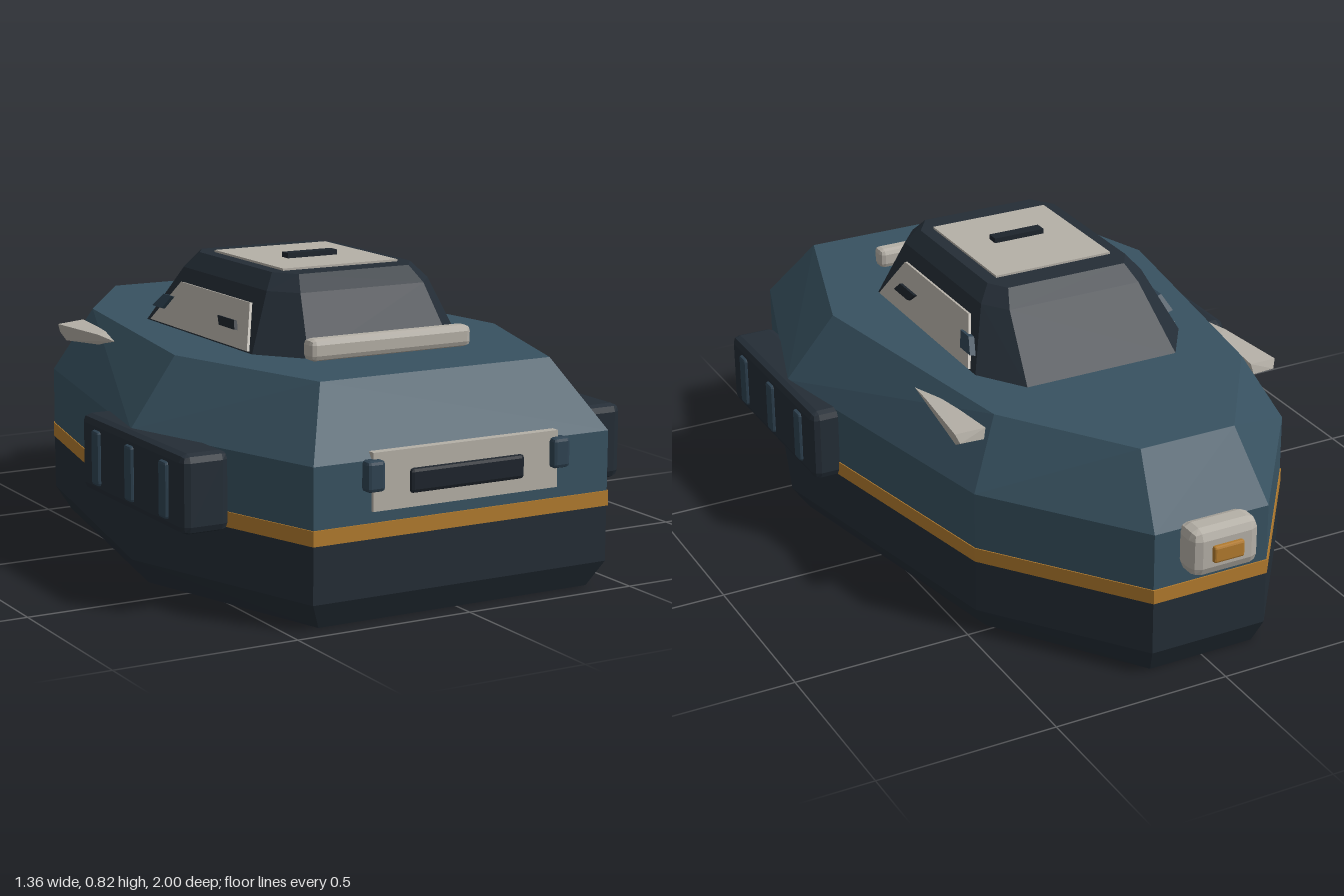
import * as THREE from 'three';
import { ConvexGeometry } from 'three/addons/geometries/ConvexGeometry.js';
import { RoundedBoxGeometry } from 'three/addons/geometries/RoundedBoxGeometry.js';

const paint = (color) => new THREE.MeshStandardMaterial({ color, flatShading: true });

export function createModel() {
  const group = new THREE.Group();
  const blue = paint(0x385261), dark = paint(0x242d36), black = paint(0x1d242c);
  const amber = paint(0xb27b2e), grey = paint(0xb5b0a7), steel = paint(0x2f4352);

  const add = (name, geometry, material) => {
    const mesh = new THREE.Mesh(geometry, material);
    mesh.name = name;
    group.add(mesh);
    return mesh;
  };

  // Faceted solid through a stack of mirrored outlines: [y, [[x, z], ...]]
  const faceted = (name, rings, material) => {
    const points = [];
    for (const [y, half] of rings) {
      for (const [x, z] of half) {
        points.push(new THREE.Vector3(x, y, z), new THREE.Vector3(-x, y, z));
      }
    }
    return add(name, new ConvexGeometry(points), material);
  };

  // Box with chamfered edges, given by its extents
  const block = (name, [x0, x1], [y0, y1], [z0, z1], chamfer, material) => {
    const size = [x1 - x0, y1 - y0, z1 - z0];
    const geometry = chamfer
      ? new RoundedBoxGeometry(...size, 1, chamfer)
      : new THREE.BoxGeometry(...size);
    add(name, geometry, material).position.set((x0 + x1) / 2, (y0 + y1) / 2, (z0 + z1) / 2);
  };

  // Hull: dark skirt, amber belt, blue upper body
  const outline = [[0.17, -0.91], [0.475, -0.5], [0.64, 0.36], [0.44, 0.97]];
  const keel = [[0.155, -0.875], [0.435, -0.48], [0.59, 0.355], [0.405, 0.935]];
  const deck = [[0.14, -0.78], [0.38, -0.43], [0.5, 0.34], [0.345, 0.835]];
  const proud = outline.map(([x, z]) => [x * 1.005, z * 1.004]);
  faceted('hullSkirt', [[0, keel], [0.07, outline], [0.22, outline]], dark);
  faceted('hullBelt', [[0.22, proud], [0.26, proud]], amber);
  faceted('hullBody', [[0.26, outline], [0.42, outline], [0.6, deck]], blue);

  // Cabin
  faceted('cabin', [
    [0.595, [[0.23, -0.335], [0.32, -0.2], [0.32, 0.43], [0.22, 0.558]]],
    [0.757, [[0.2, -0.172], [0.25, -0.1], [0.25, 0.385], [0.19, 0.46]]],
    [0.8, [[0.18, -0.125], [0.215, -0.07], [0.215, 0.35], [0.17, 0.415]]],
  ], dark);
  block('roofHatch', [-0.178, 0.178], [0.79, 0.806], [-0.05, 0.345], 0, grey);
  block('roofSlot', [-0.077, 0.077], [0.8, 0.82], [0.155, 0.19], 0, black);
  block('windscreenBar', [-0.245, 0.245], [0.602, 0.66], [0.565, 0.618], 0.015, grey);

  // Front plate
  block('frontPlate', [-0.275, 0.275], [0.29, 0.44], [0.94, 0.979], 0, grey);
  block('frontSlot', [-0.17, 0.17], [0.325, 0.39], [0.95, 0.988], 0.01, black);

  // Rear lamp
  block('rearLampHousing', [-0.1, 0.1], [0.305, 0.44], [-0.987, -0.895], 0.028, grey);
  block('rearLamp', [-0.045, 0.045], [0.348, 0.395], [-1, -0.95], 0.006, amber);

  // Slab lying on the sloping cabin side, from [z, y] corners
  const sidePanel = (name, side, corners, depth, material) => {
    const points = [];
    for (const [z, y] of corners) {
      const x = 0.32 - (y - 0.595) * (0.07 / 0.162);
      points.push(new THREE.Vector3(side * (x - 0.01), y, z));
      points.push(new THREE.Vector3(side * (x + depth), y + depth * 0.4, z));
    }
    add(name, new ConvexGeometry(points), material);
  };

  for (const side of [1, -1]) {
    const tag = side > 0 ? 'left' : 'right';
    const span = (a, b) => (side > 0 ? [a, b] : [-b, -a]);

    // Cabin side window and its two slats
    sidePanel(tag + 'Window', side, [[0.41, 0.603], [0.335, 0.718], [-0.07, 0.718], [-0.165, 0.603]], 0.007, grey);
    sidePanel(tag + 'FrontSlat', side, [[0.325, 0.643], [0.305, 0.665], [0.21, 0.665], [0.235, 0.643]], 0.016, black);
    sidePanel(tag + 'RearSlat', side, [[-0.105, 0.638], [-0.075, 0.675], [-0.125, 0.675], [-0.165, 0.638]], 0.016, steel);

    // Side pod with ribs
    block(tag + 'Pod', span(0.535, 0.669), [0.215, 0.423], [0.112, 0.718], 0.022, dark);
    for (const z of [0.215, 0.415, 0.615]) {
      block(tag + 'PodRib', span(0.64, 0.679), [0.243, 0.392], [z - 0.022, z + 0.022], 0.008, steel);
    }

    // Front hinge
    block(tag + 'Hinge', span(0.25, 0.302), [0.343, 0.423], [0.955, 1], 0.01, steel);

    // Rear deck fin, tapering forward
    const fin = [
      [0.415, 0.52, -0.4], [0.478, 0.52, -0.4], [0.415, 0.54, -0.44], [0.482, 0.54, -0.435],
      [0.408, 0.57, -0.435], [0.492, 0.565, -0.425], [0.43, 0.57, -0.23], [0.47, 0.567, -0.2],
      [0.45, 0.56, -0.12], [0.46, 0.56, -0.115], [0.455, 0.54, -0.16],
    ];
    add(tag + 'Fin', new ConvexGeometry(fin.map(([x, y, z]) => new THREE.Vector3(side * x, y, z))), grey);
  }
  return group;
}
